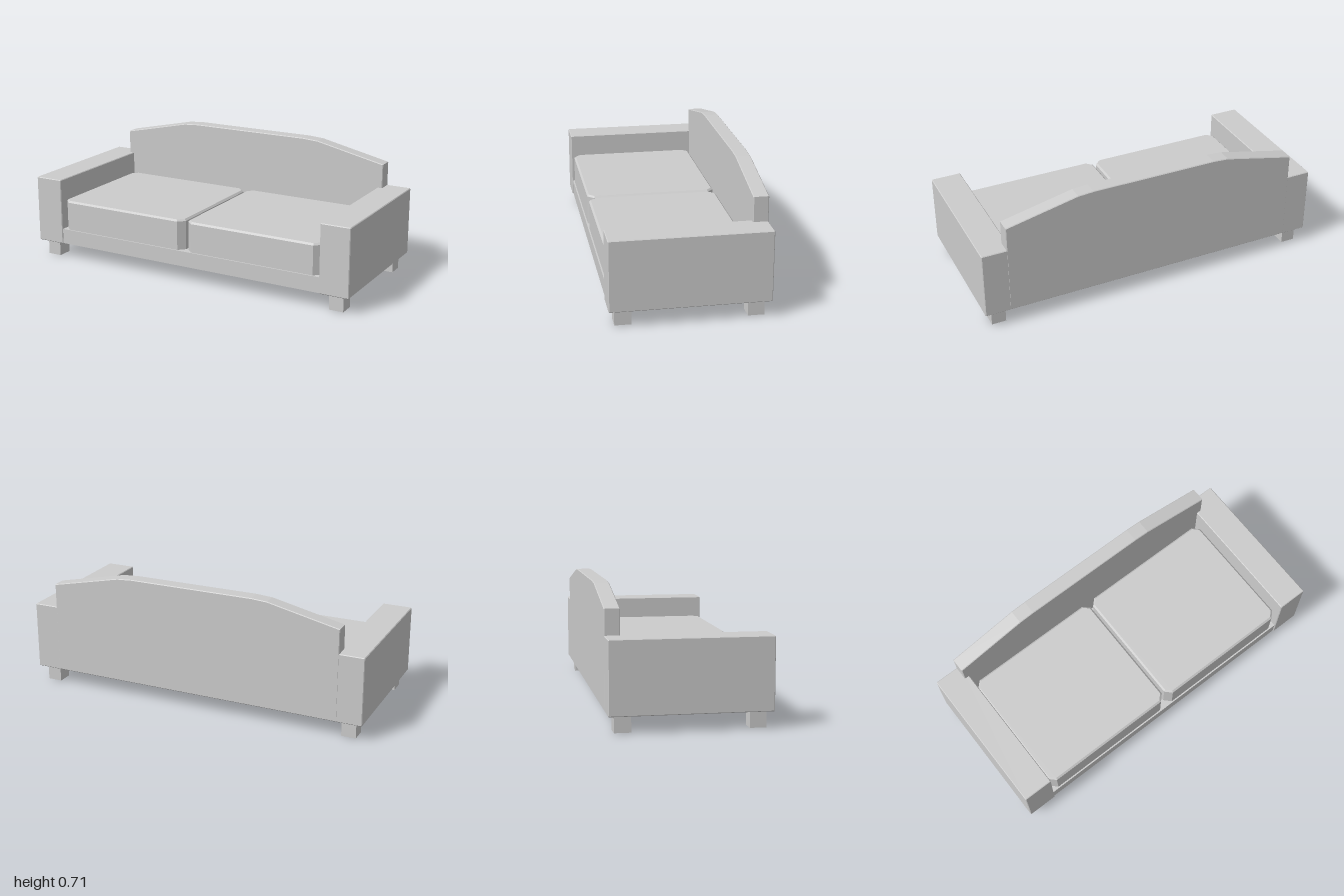
import * as THREE from 'three';

const material = new THREE.MeshStandardMaterial({ color: 0xcccccc, flatShading: true });

// Extrudes an outline to z = -depth/2..depth/2 with a small chamfer kept inside the outline
function slab(points, depth, bevel) {
  const shape = new THREE.Shape(points.map(([x, y]) => new THREE.Vector2(x, y)));
  const geometry = new THREE.ExtrudeGeometry(shape, {
    depth: depth - 2 * bevel,
    bevelSize: bevel,
    bevelOffset: -bevel,
    bevelThickness: bevel,
    bevelSegments: 1,
  });
  return geometry.translate(0, 0, bevel - depth / 2);
}

// Rectangle outline with cut corners
function cutRect(w, h, c) {
  const x = w / 2, y = h / 2;
  return [
    [-x + c, -y], [x - c, -y], [x, -y + c], [x, y - c],
    [x - c, y], [-x + c, y], [-x, y - c], [-x, -y + c],
  ];
}

export function createModel() {
  const sofa = new THREE.Group();
  sofa.name = 'sofa';

  function add(name, geometry, x, y, z) {
    const mesh = new THREE.Mesh(geometry, material);
    mesh.name = name;
    mesh.position.set(x, y, z);
    sofa.add(mesh);
  }

  // Seat base between the arms
  add('seatBase', new THREE.BoxGeometry(1.68, 0.088, 0.82), 0, 0.136, 0.01);

  // Backrest with a crowned top edge
  const backOutline = [
    [-0.86, 0.091], [0.86, 0.091], [0.86, 0.615], [0.45, 0.705],
    [0.36, 0.711], [-0.36, 0.711], [-0.45, 0.705], [-0.86, 0.615],
  ];
  add('backrest', slab(backOutline, 0.083, 0.004), 0, 0, -0.3855);

  const armGeometry = slab(cutRect(0.852, 0.388, 0.004), 0.17, 0.004).rotateY(Math.PI / 2);
  const cushionGeometry = slab(cutRect(0.815, 0.742, 0.036), 0.185, 0.01).rotateX(-Math.PI / 2);
  const legGeometry = new THREE.BoxGeometry(0.082, 0.1, 0.088);

  for (const [side, label] of [[1, 'left'], [-1, 'right']]) {
    add(label + 'Arm', armGeometry, side * 0.915, 0.284, 0);
    // Cushion sinks slightly into the base
    add(label + 'Cushion', cushionGeometry, side * 0.4155, 0.2625, 0.041);
    add(label + 'FrontLeg', legGeometry, side * 0.918, 0.05, 0.349);
    add(label + 'BackLeg', legGeometry, side * 0.918, 0.05, -0.349);
  }

  return sofa;
}
